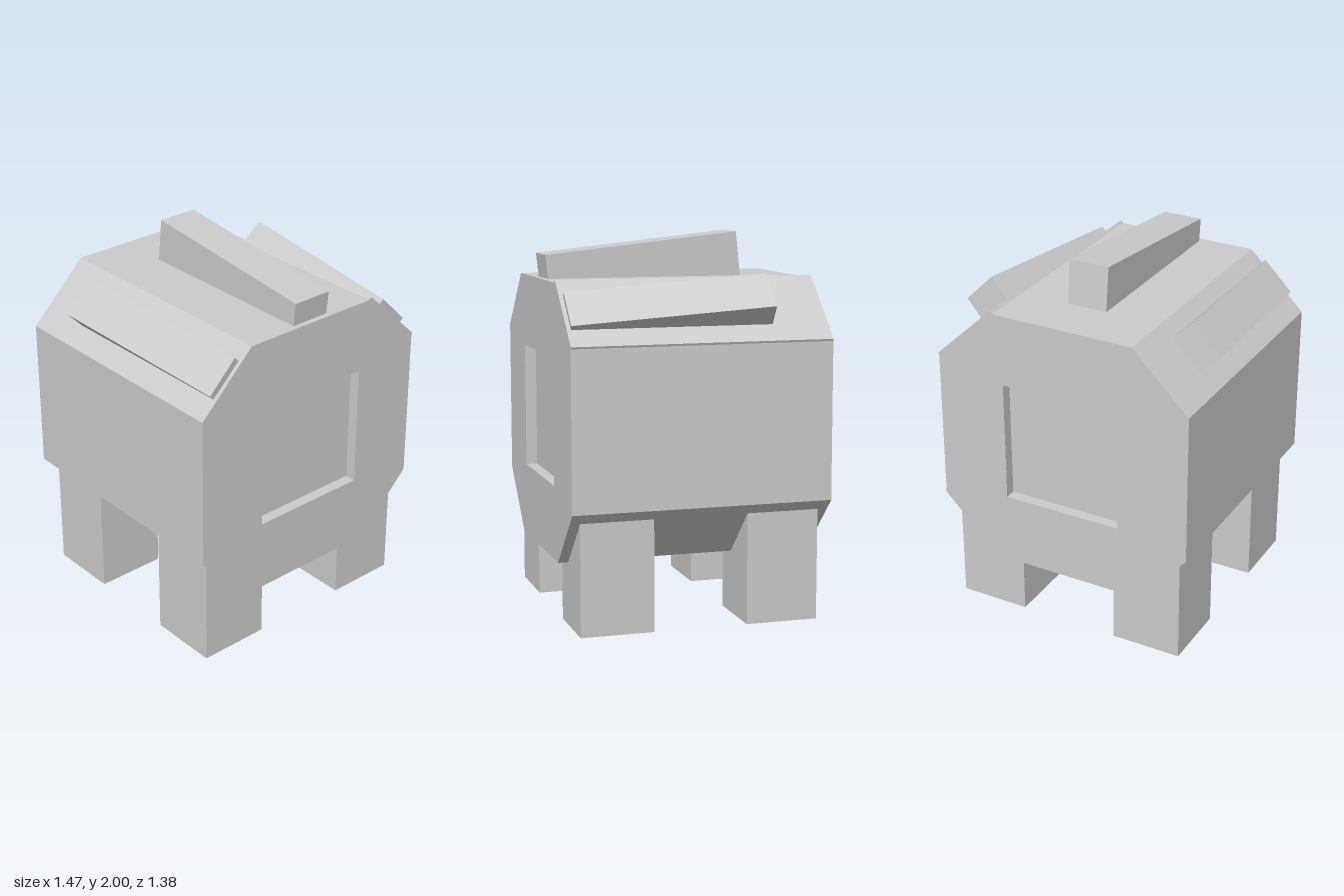
import * as THREE from 'three';

export function createModel() {
  const model = new THREE.Group();
  const material = new THREE.MeshStandardMaterial({ color: 0xcccccc, flatShading: true });
  const add = (name, geometry, parent = model) => {
    const mesh = new THREE.Mesh(geometry, material);
    mesh.name = name;
    parent.add(mesh);
    return mesh;
  };

  // Octagonal body, its left shoulder panel standing slightly proud
  const depth = 1.375;
  const outline = [
    [-0.41, 0.332], [0.405, 0.332], [0.716, 0.64], [0.712, 1.464], [0.717, 1.475],
    [0.394, 1.78], [0.38, 1.766], [-0.41, 1.766], [-0.721, 1.46], [-0.721, 0.64],
  ].map(([x, y]) => new THREE.Vector2(x, y));
  const shape = new THREE.Shape(outline);
  const h = 0.33;
  const centreY = 1.05;
  shape.holes.push(new THREE.Path([[-h, -h], [-h, h], [h, h], [h, -h]]
    .map(([x, y]) => new THREE.Vector2(x, centreY + y))));
  const body = new THREE.ExtrudeGeometry(shape, { depth, bevelEnabled: false });
  body.translate(0, 0, -depth / 2);
  add('body', body);

  // Core forming the floors of the square recesses at both ends
  add('recessFloors', new THREE.BoxGeometry(2 * h, 2 * h, depth - 0.12)).position.y = centreY;

  // Four square legs
  for (const x of [-1, 1]) {
    for (const z of [-1, 1]) {
      const name = (z > 0 ? 'front' : 'back') + (x > 0 ? 'Left' : 'Right') + 'Leg';
      add(name, new THREE.BoxGeometry(0.385, 0.585, 0.385)).position.set(x * 0.468, 0.2925, z * 0.442);
    }
  }

  // Tilted fins on the top and on each shoulder
  for (const [name, turn] of [['rightFin', 1], ['topFin', 0], ['leftFin', -1]]) {
    const pivot = new THREE.Group();
    pivot.name = name;
    pivot.position.y = 1.07;
    pivot.rotation.z = turn * Math.PI / 4;
    const fin = add(name + 'Block', new THREE.BoxGeometry(0.22, 0.24, 1.046), pivot);
    fin.position.set(0, 0.756, 0.137);
    fin.rotation.x = 0.105;
    model.add(pivot);
  }
  return model;
}
